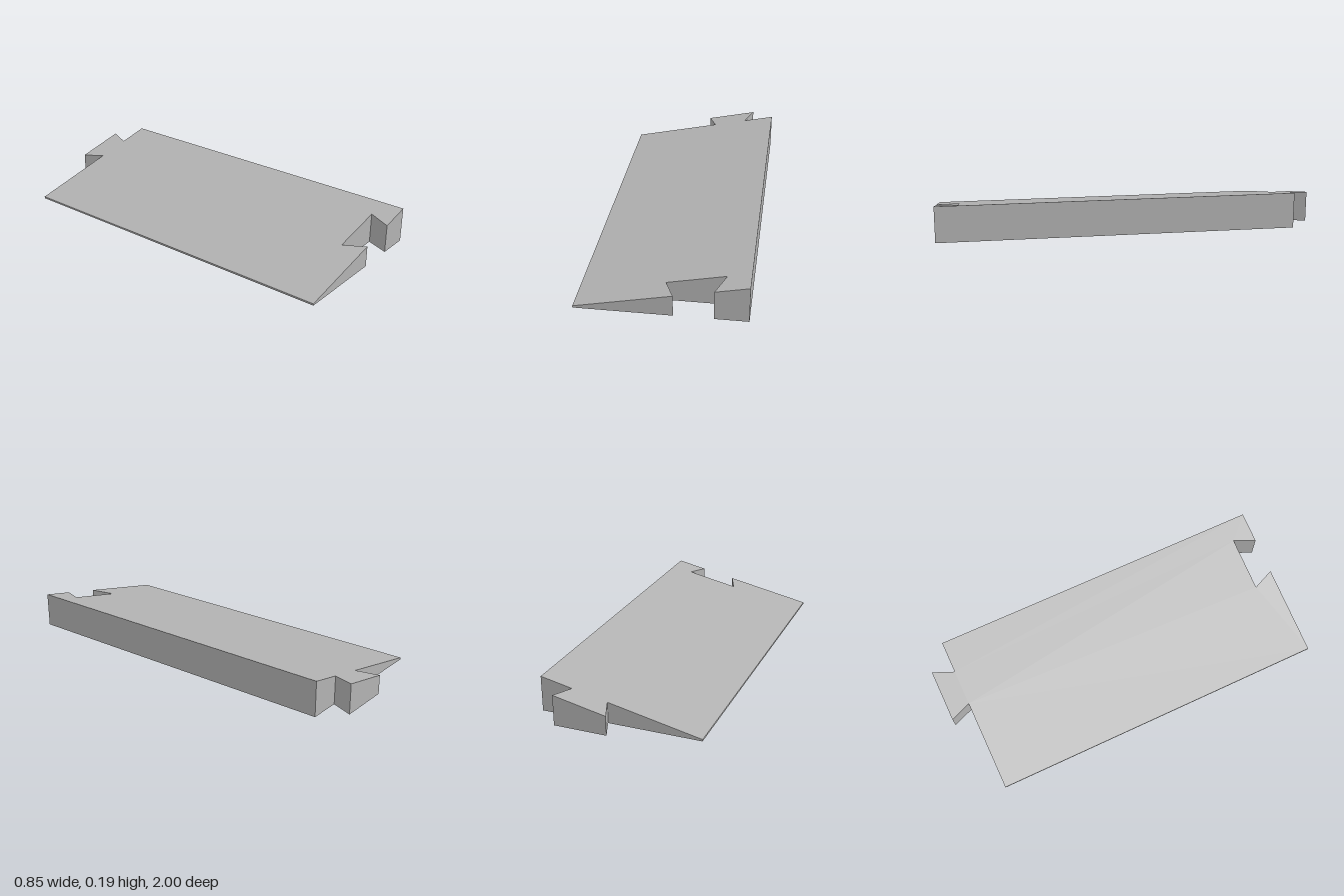
import * as THREE from 'three';

const HALF_WIDTH = 0.425;
const THIN_EDGE = 0.01;
const THICK_EDGE = 0.19;

// Height of the sloping top at a given x
function topHeight(x) {
  const t = (x + HALF_WIDTH) / (2 * HALF_WIDTH);
  return THREE.MathUtils.lerp(THIN_EDGE, THICK_EDGE, t);
}

export function createModel() {
  const grey = new THREE.MeshStandardMaterial({ color: 0xb2b2b2 });
  grey.name = 'grey';

  // Plan outline as [x, z]: dovetail socket at the front, tail at the back
  const outline = [
    [-HALF_WIDTH, 1], [0.062, 1], [0.012, 0.88], [0.307, 0.88], [0.257, 1], [HALF_WIDTH, 1],
    [HALF_WIDTH, -0.885], [0.254, -0.885], [0.3, -1], [0.019, -1], [0.065, -0.885], [-HALF_WIDTH, -0.885],
  ];
  const plan = new THREE.Shape(outline.map(([x, z]) => new THREE.Vector2(x, -z)));

  // Extrude upright to unit height, then press the top down to the slope
  const geometry = new THREE.ExtrudeGeometry(plan, { depth: 1, bevelEnabled: false });
  geometry.rotateX(-Math.PI / 2);
  const position = geometry.attributes.position;
  for (let i = 0; i < position.count; i++) {
    position.setY(i, position.getY(i) > 0.5 ? topHeight(position.getX(i)) : 0);
  }
  geometry.computeVertexNormals();

  const ramp = new THREE.Mesh(geometry, grey);
  ramp.name = 'rampSegment';

  const model = new THREE.Group();
  model.name = 'interlockingRamp';
  model.add(ramp);
  return model;
}
